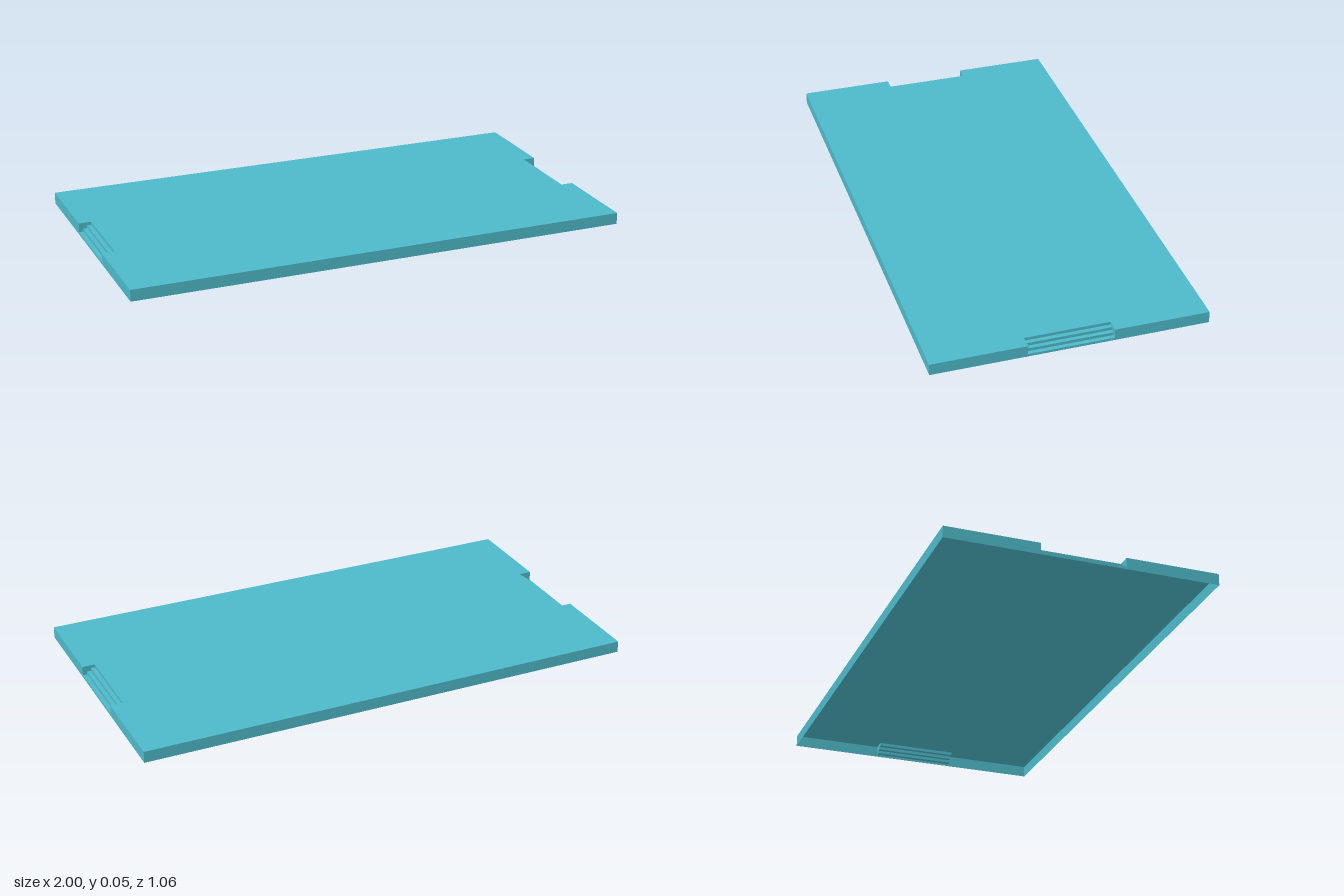
import * as THREE from 'three';

const W = 1, D = 0.532, H = 0.046;   // half width, half depth, height
const G = 0.165;                     // half length of each finger grip
// stepped grip profile (x, y), from the top plate down to the end wall
const STEPS = [[0.95, H], [0.95, 0.034], [0.967, 0.034], [0.967, 0.022],
  [0.983, 0.022], [0.983, 0.01], [W, 0.01]];

export function createModel() {
  const model = new THREE.Group();
  model.name = 'trayLid';
  const material = new THREE.MeshStandardMaterial({
    color: 0x4db8c8, side: THREE.DoubleSide, flatShading: true,
  });
  const sheet = (points) =>
    new THREE.ShapeGeometry(new THREE.Shape(points.map(([x, y]) => new THREE.Vector2(x, y))));
  const add = (parent, name, geometry) => {
    const mesh = new THREE.Mesh(geometry, material);
    mesh.name = name;
    parent.add(mesh);
  };

  // top plate, notched at both ends
  const n = STEPS[0][0];
  add(model, 'topPlate', sheet([
    [-W, -D], [W, -D], [W, -G], [n, -G], [n, G], [W, G],
    [W, D], [-W, D], [-W, G], [-n, G], [-n, -G], [-W, -G],
  ]).rotateX(-Math.PI / 2).translate(0, H, 0));

  // each half turn adds one long wall and one end wall with its grip
  for (const turn of [0, Math.PI]) {
    const half = new THREE.Group();
    half.name = turn ? 'backRightSide' : 'frontLeftSide';
    half.rotation.y = turn;
    model.add(half);

    add(half, 'longWall', new THREE.PlaneGeometry(2 * W, H).translate(0, H / 2, D));

    // end wall, cut away above the lowest step
    const low = STEPS[STEPS.length - 1][1];
    add(half, 'endWall', sheet([
      [-D, 0], [D, 0], [D, H], [G, H], [G, low], [-G, low], [-G, H], [-D, H],
    ]).rotateY(Math.PI / 2).translate(W, 0, 0));

    // risers and treads of the grip
    for (let i = 1; i < STEPS.length; i++) {
      const [x0, y0] = STEPS[i - 1], [x1, y1] = STEPS[i];
      const riser = x0 === x1;
      const g = riser
        ? new THREE.PlaneGeometry(2 * G, y0 - y1).rotateY(Math.PI / 2)
        : new THREE.PlaneGeometry(x1 - x0, 2 * G).rotateX(-Math.PI / 2);
      add(half, riser ? 'gripRiser' : 'gripTread', g.translate((x0 + x1) / 2, (y0 + y1) / 2, 0));
    }

    // cheeks closing the two ends of the grip
    for (const z of [-G, G]) {
      add(half, 'gripCheek', sheet([...STEPS, [W, H]]).translate(0, 0, z));
    }
  }
  return model;
}
